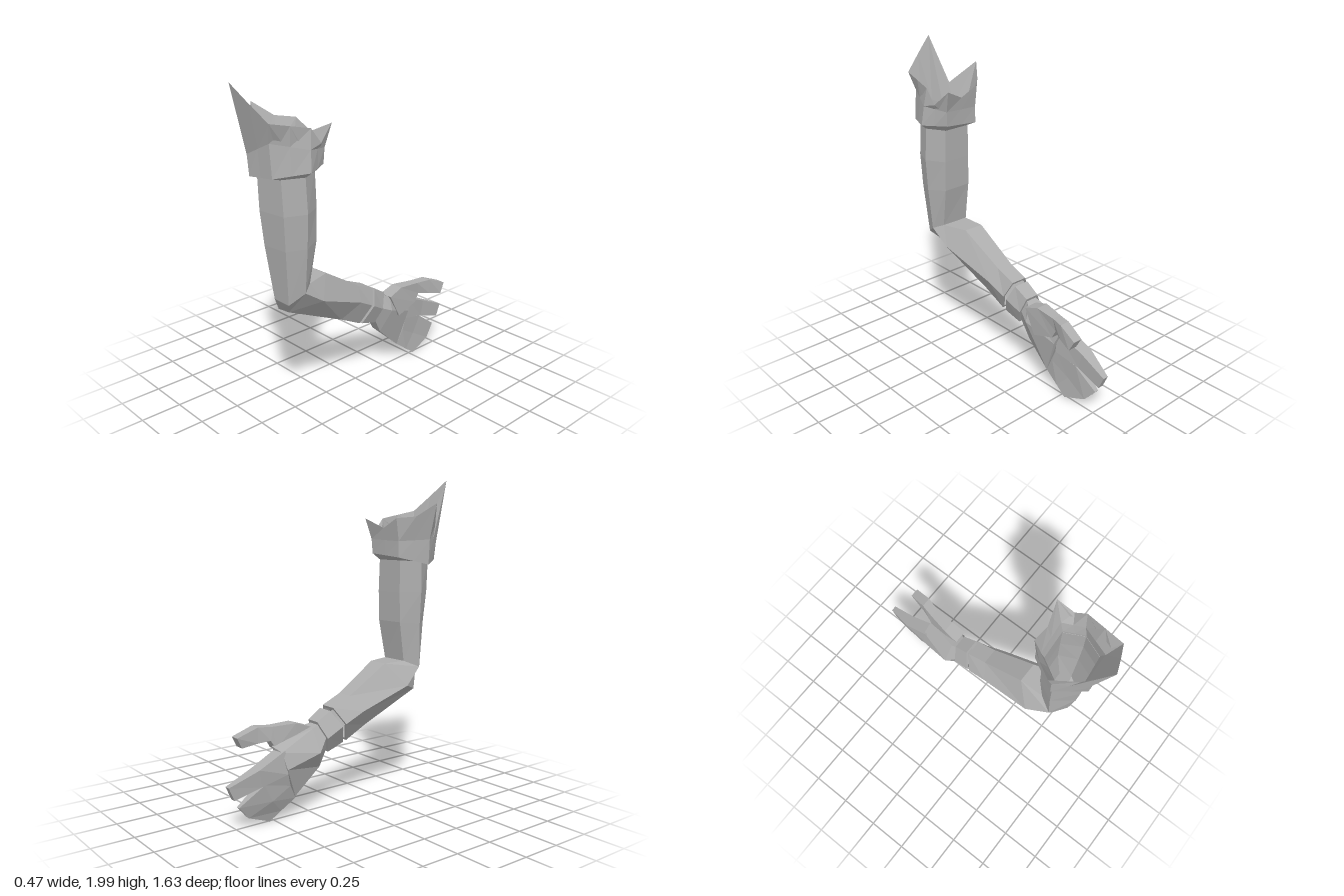
import * as THREE from 'three';

const grey = new THREE.MeshStandardMaterial({ color: 0xaeaeae, side: THREE.DoubleSide });
grey.name = 'plainGrey';

// Joins rings of [x, y, z] points into a faceted skin, with optional end caps
function loft(name, rings, capStart, capEnd) {
  const pos = [];
  const tri = (a, b, c) => pos.push(...a, ...b, ...c);
  const n = rings[0].length;
  for (let k = 0; k + 1 < rings.length; k++) {
    const a = rings[k], b = rings[k + 1];
    for (let i = 0; i < n; i++) {
      const j = (i + 1) % n;
      tri(a[i], a[j], b[j]);
      tri(a[i], b[j], b[i]);
    }
  }
  const first = rings[0], last = rings[rings.length - 1];
  for (let i = 1; i + 1 < n; i++) {
    if (capStart) tri(first[0], first[i + 1], first[i]);
    if (capEnd) tri(last[0], last[i], last[i + 1]);
  }
  const geo = new THREE.BufferGeometry();
  geo.setAttribute('position', new THREE.Float32BufferAttribute(pos, 3));
  geo.computeVertexNormals();
  const mesh = new THREE.Mesh(geo, grey);
  mesh.name = name;
  return mesh;
}

const mix = (a, b, t) => a.map((v, i) => v + (b[i] - v) * t);
const centre = ring => [0, 1, 2].map(i => ring.reduce((s, p) => s + p[i], 0) / ring.length);
const shrink = (ring, f) => { const c = centre(ring); return ring.map(p => mix(c, p, f)); };
const shift = (ring, x, y, z) => ring.map(p => [p[0] + x, p[1] + y, p[2] + z]);
// Adds the midpoint of every edge, turning six points into twelve
const split = ring => ring.flatMap((p, i) => [p, mix(p, ring[(i + 1) % ring.length], 0.5)]);

// Flat finger: each section runs top to bottom as [x, y, z, halfThickness]
function finger(name, sections) {
  const rings = sections.map(s => [
    ...s.map(([x, y, z, h]) => [x + h, y, z]),
    ...[...s].reverse().map(([x, y, z, h]) => [x - h, y, z]),
  ]);
  return loft(name, rings, true, true);
}

export function createModel() {
  const model = new THREE.Group();
  model.name = 'armouredArm';

  // Ring order: inner right, right, outer right, outer left, left, inner left
  const armTop = [[0.13, 1.52, 0.42], [0.19, 1.52, 0.535], [0.14, 1.52, 0.66],
    [-0.04, 1.52, 0.68], [-0.12, 1.52, 0.55], [-0.05, 1.52, 0.43]];
  const armUpper = [[0.14, 1.3, 0.42], [0.205, 1.3, 0.535], [0.155, 1.3, 0.66],
    [-0.03, 1.3, 0.68], [-0.12, 1.3, 0.55], [-0.05, 1.3, 0.43]];
  const armLower = [[0.14, 1.11, 0.425], [0.195, 1.1, 0.535], [0.15, 1.1, 0.65],
    [-0.015, 1.1, 0.667], [-0.11, 1.1, 0.55], [-0.05, 1.11, 0.435]];
  const elbow = [[0.13, 0.86, 0.47], [0.17, 0.83, 0.535], [0.13, 0.77, 0.625],
    [0.01, 0.775, 0.63], [-0.1, 0.82, 0.56], [-0.05, 0.86, 0.47]];
  const elbowTip = [[0.08, 0.86, 0.31], [0.165, 0.74, 0.4], [0.045, 0.68, 0.56],
    [-0.05, 0.67, 0.56], [-0.145, 0.72, 0.42], [-0.05, 0.86, 0.31]];
  const forearmMid = [[0.055, 0.69, 0.03], [0.108, 0.6, 0.05], [0.045, 0.5, 0.16],
    [-0.04, 0.49, 0.16], [-0.125, 0.6, 0.08], [-0.05, 0.69, 0.03]];
  const forearmEnd = [[0.05, 0.635, -0.1], [0.09, 0.54, -0.06], [0.04, 0.42, 0],
    [-0.04, 0.415, 0.01], [-0.12, 0.54, -0.05], [-0.055, 0.635, -0.1]];
  const cuffEnd = [[0.04, 0.565, -0.215], [0.065, 0.47, -0.18], [0.03, 0.375, -0.14],
    [-0.05, 0.37, -0.135], [-0.11, 0.47, -0.18], [-0.05, 0.565, -0.215]];

  model.add(loft('upperArm', [armTop, armUpper, armLower, elbow]));
  model.add(loft('forearm', [elbow, elbowTip, forearmMid, forearmEnd, shrink(forearmEnd, 0.86)]));

  // Wrist cuff, set off by a narrow groove
  const cuffStart = shrink(shift(forearmEnd, 0, -0.012, -0.022), 0.97);
  model.add(loft('wristCuff', [shrink(cuffStart, 0.86), cuffStart, cuffEnd, shrink(cuffEnd, 0.8)]));

  // Hand
  model.add(loft('palm', [
    shrink(cuffEnd, 0.8),
    [[0.055, 0.53, -0.25], [0.08, 0.44, -0.25], [0.01, 0.28, -0.21],
      [-0.05, 0.29, -0.2], [-0.13, 0.4, -0.25], [-0.05, 0.53, -0.25]],
    [[0.02, 0.45, -0.49], [0.035, 0.36, -0.45], [0.01, 0.13, -0.37],
      [-0.04, 0.14, -0.37], [-0.1, 0.33, -0.46], [-0.07, 0.43, -0.48]],
  ], true, true));
  model.add(finger('thumb', [
    [[0.03, 0.535, -0.24, 0.045], [0.03, 0.38, -0.32, 0.045]],
    [[0.03, 0.57, -0.34, 0.04], [0.04, 0.43, -0.47, 0.035]],
    [[0.05, 0.565, -0.48, 0.03], [0.045, 0.485, -0.5, 0.03]],
    [[0.075, 0.57, -0.57, 0.033], [0.075, 0.475, -0.57, 0.033]],
    [[0.095, 0.52, -0.695, 0.03], [0.1, 0.455, -0.66, 0.03]],
  ]));
  model.add(finger('pointingFinger', [
    [[-0.03, 0.44, -0.46, 0.045], [-0.035, 0.3, -0.45, 0.055]],
    [[-0.045, 0.36, -0.64, 0.04], [-0.04, 0.255, -0.62, 0.035]],
    [[-0.022, 0.28, -0.815, 0.018], [-0.022, 0.2, -0.78, 0.018]],
  ]));
  model.add(finger('joinedFingers', [
    [[-0.035, 0.31, -0.45, 0.05], [-0.025, 0.22, -0.42, 0.04], [-0.015, 0.13, -0.37, 0.025]],
    [[-0.035, 0.26, -0.6, 0.035], [-0.03, 0.15, -0.54, 0.03], [-0.005, 0.065, -0.46, 0.018]],
    [[-0.025, 0.15, -0.75, 0.012], [-0.01, 0.07, -0.68, 0.012], [0.003, 0.012, -0.53, 0.012]],
  ]));

  // Jagged shoulder guard: inner wall up to the spikes, then the outer wall down
  const guardMid = split([[0.155, 1.63, 0.37], [0.215, 1.65, 0.515], [0.125, 1.7, 0.717],
    [-0.075, 1.61, 0.715], [-0.178, 1.63, 0.56], [-0.08, 1.62, 0.39]]);
  const guardBottom = split([[0.15, 1.54, 0.375], [0.23, 1.53, 0.525], [0.14, 1.515, 0.715],
    [-0.05, 1.495, 0.722], [-0.17, 1.475, 0.56], [-0.08, 1.52, 0.39]]);
  const spikes = [[0.17, 1.76, 0.33], [0.2, 1.67, 0.43], [0.2, 1.76, 0.5], [0.18, 1.785, 0.62],
    [0.16, 1.81, 0.74], [0.05, 1.905, 0.78], [-0.06, 2.0, 0.815], [-0.1, 1.71, 0.68],
    [-0.235, 1.85, 0.56], [-0.16, 1.77, 0.46], [-0.08, 1.76, 0.37], [0.04, 1.7, 0.37]];
  const rim = split(armTop);
  model.add(loft('shoulderGuard', [
    rim, shift(shrink(guardMid, 0.85), 0, -0.03, 0), spikes, guardMid, guardBottom,
    shift(rim, 0, -0.02, 0),
  ]));

  return model;
}
